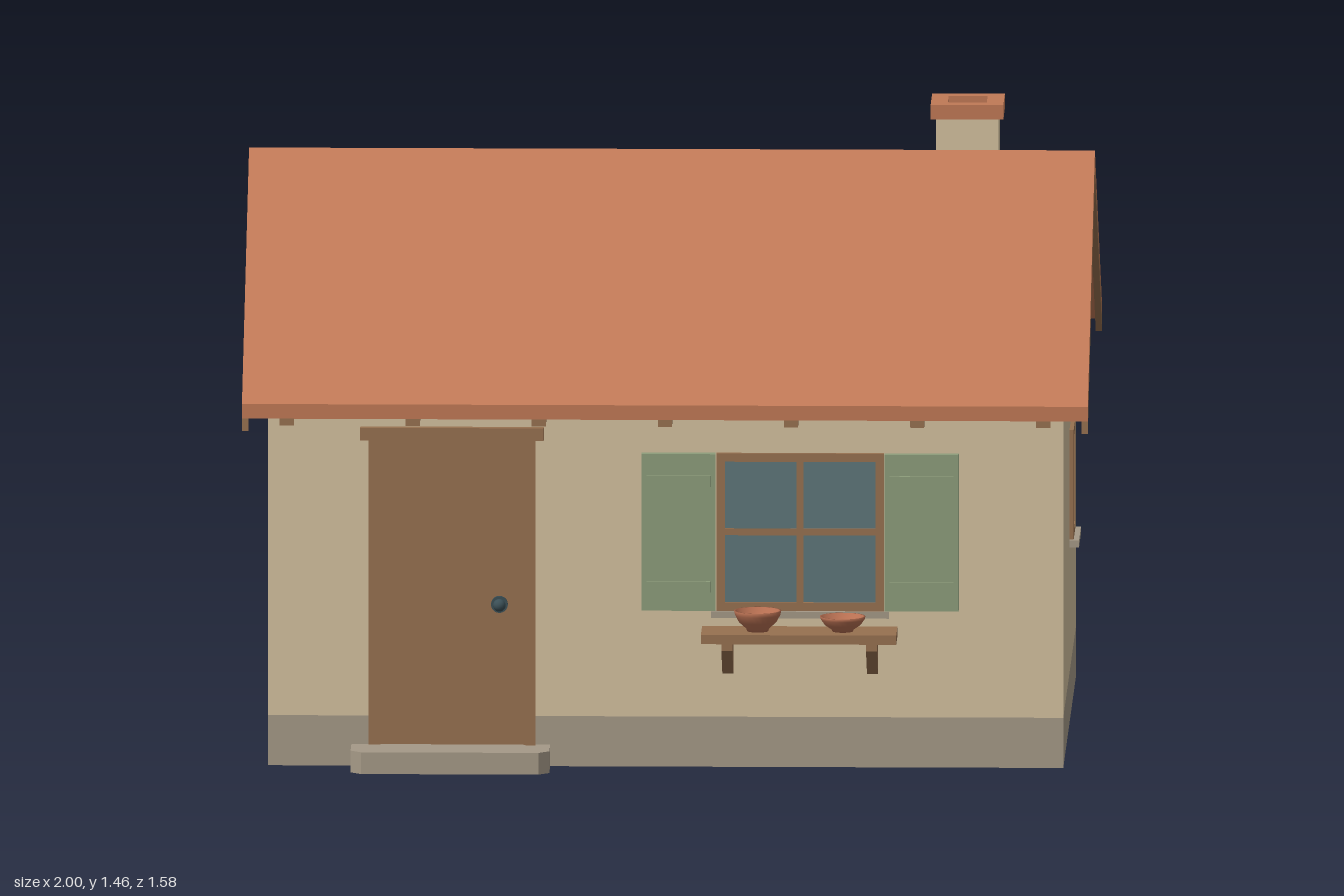
import * as THREE from 'three';

const mat = (name, color, extra = {}) => {
  const m = new THREE.MeshStandardMaterial({ color, ...extra });
  m.name = name;
  return m;
};

export function createModel() {
  const plaster = mat('plaster', 0xd3c09f);
  const stone = mat('stone', 0xa59987);
  const tile = mat('terracotta', 0xc07956);
  const wood = mat('wood', 0x977150);
  const glass = mat('glass', 0x5e767a);
  const green = mat('shutterGreen', 0x8d9d7b);
  const iron = mat('iron', 0x3b4f56);
  const clay = mat('bowlClay', 0xb87052, { side: THREE.DoubleSide });

  const house = new THREE.Group();
  house.name = 'cottage';

  const add = (parent, name, geo, material) => {
    const m = new THREE.Mesh(geo, material);
    m.name = name;
    parent.add(m);
    return m;
  };
  // Box given by its lower and upper limits
  const box = (parent, name, material, x0, x1, y0, y1, z0, z1) => {
    const m = add(parent, name, new THREE.BoxGeometry(x1 - x0, y1 - y0, z1 - z0), material);
    m.position.set((x0 + x1) / 2, (y0 + y1) / 2, (z0 + z1) / 2);
    return m;
  };
  const shapeOf = pts => new THREE.Shape(pts.map(p => new THREE.Vector2(p[0], p[1])));
  // Outline of [z, y] points extruded from x0 to x1
  const extrudeX = (pts, x0, x1) =>
    new THREE.ExtrudeGeometry(shapeOf(pts), { depth: x1 - x0, bevelEnabled: false })
      .rotateY(-Math.PI / 2).translate(x1, 0, 0);
  // Outline of [x, -z] points extruded upward from y0 to y1
  const extrudeY = (shape, y0, y1) =>
    new THREE.ExtrudeGeometry(shape, { depth: y1 - y0, bevelEnabled: false })
      .rotateX(-Math.PI / 2).translate(0, y0, 0);

  const FRONT = 0.655, BACK = -0.7, SIDE = 0.94, RIDGE = -0.022, SLOPE = 0.64, EAVE = 0.767;

  // Walls and plinth
  box(house, 'plinth', stone, -SIDE, SIDE, 0, 0.12, BACK, FRONT);
  const wallTop = 1.33 - (FRONT - RIDGE) * SLOPE;
  add(house, 'walls', extrudeX([
    [BACK, 0.12], [FRONT, 0.12], [FRONT, wallTop], [RIDGE, 1.33], [BACK, wallTop],
  ], -SIDE, SIDE), plaster);

  // Roof: chevron slabs of tile with bargeboards under both ends
  const chevron = (top, bottom, x0, x1) => extrudeX([
    [RIDGE - EAVE, bottom - EAVE * SLOPE], [RIDGE, bottom], [RIDGE + EAVE, bottom - EAVE * SLOPE],
    [RIDGE + EAVE, top - EAVE * SLOPE], [RIDGE, top], [RIDGE - EAVE, top - EAVE * SLOPE],
  ], x0, x1);
  add(house, 'roofTiles', chevron(1.37, 1.335, -1, 1), tile);
  add(house, 'bargeboardLeft', chevron(1.335, 1.305, 0.985, 1), wood);
  add(house, 'bargeboardRight', chevron(1.335, 1.305, -1, -0.985), wood);

  // Rafter tails under both eaves
  for (let i = -3; i <= 3; i++) {
    for (const s of [-1, 1]) {
      const x = i * 0.298, y = d => 1.337 - d * SLOPE;
      const pts = [[0.64, y(0.64) - 0.028], [0.755, y(0.755) - 0.028], [0.755, y(0.755)], [0.64, y(0.64)]]
        .map(([d, h]) => [RIDGE + s * d, h]);
      add(house, 'rafterTail', extrudeX(pts, x - 0.017, x + 0.017), wood);
    }
  }

  // Hollow chimney and cap
  const squareRing = (cx, cz, outer, inner) => {
    const sq = h => [[cx - h, -cz - h], [cx + h, -cz - h], [cx + h, -cz + h], [cx - h, -cz + h]];
    const s = shapeOf(sq(outer));
    s.holes.push(shapeOf(sq(inner).reverse()));
    return s;
  };
  add(house, 'chimney', extrudeY(squareRing(0.695, -0.218, 0.074, 0.047), 1.15, 1.425), plaster);
  add(house, 'chimneyCap', extrudeY(squareRing(0.695, -0.218, 0.086, 0.046), 1.425, 1.46), tile);

  // Door, frame, knob and step
  const door = new THREE.Group();
  door.name = 'door';
  house.add(door);
  box(door, 'doorPanel', wood, -0.675, -0.335, 0.05, 0.78, FRONT - 0.01, FRONT + 0.003);
  box(door, 'doorPostRight', wood, -0.702, -0.674, 0.05, 0.78, FRONT - 0.01, 0.668);
  box(door, 'doorPostLeft', wood, -0.336, -0.308, 0.05, 0.78, FRONT - 0.01, 0.668);
  box(door, 'doorLintel', wood, -0.722, -0.288, 0.782, 0.812, FRONT - 0.01, 0.677);
  add(door, 'knobPlate', new THREE.CylinderGeometry(0.02, 0.02, 0.008, 20).rotateX(Math.PI / 2), iron)
    .position.set(-0.393, 0.388, 0.661);
  add(door, 'knob', new THREE.SphereGeometry(0.015, 16, 10), iron).position.set(-0.393, 0.388, 0.676);
  add(house, 'doorStep', extrudeY(shapeOf([
    [-0.743, -0.65], [-0.743, -0.757], [-0.718, -0.782], [-0.298, -0.782], [-0.273, -0.757], [-0.273, -0.65],
  ]), 0, 0.052), stone);

  // Window facing +z, centred on its bottom edge; bar is the frame width
  const makeWindow = (name, w, h, bar, cross, sillH, sillOut, sillW) => {
    const g = new THREE.Group();
    g.name = name;
    const x = w / 2, out = 0.01;
    box(g, 'glass', glass, -x + bar / 2, x - bar / 2, bar / 2, h - bar / 2, -0.005, 0.002);
    for (const s of [-1, 1]) {
      const c = s * (x - bar / 2);
      box(g, 'frameSide', wood, c - bar / 2, c + bar / 2, 0, h, -0.005, out);
    }
    box(g, 'frameBottom', wood, -x + bar, x - bar, 0, bar, -0.005, out);
    box(g, 'frameTop', wood, -x + bar, x - bar, h - bar, h, -0.005, out);
    if (cross) {
      box(g, 'mullion', wood, -0.008, 0.008, bar, h - bar, -0.004, 0.007);
      box(g, 'transom', wood, -x + bar, x - bar, h / 2 - 0.008, h / 2 + 0.008, -0.004, 0.0065);
    }
    box(g, 'sill', stone, -sillW / 2, sillW / 2, -sillH, 0, -0.005, sillOut);
    house.add(g);
    return g;
  };
  makeWindow('frontWindow', 0.396, 0.377, 0.02, true, 0.016, 0.02, 0.42).position.set(0.318, 0.375, FRONT);
  const sideWindow = makeWindow('sideWindow', 0.182, 0.262, 0.019, false, 0.017, 0.023, 0.21);
  sideWindow.position.set(SIDE, 0.44, -0.1);
  sideWindow.rotation.y = Math.PI / 2;
  const backWindow = makeWindow('backWindow', 0.22, 0.25, 0.018, true, 0.018, 0.022, 0.26);
  backWindow.position.set(-0.232, 0.43, BACK);
  backWindow.rotation.y = Math.PI;

  // Shutters with two battens each
  for (const x0 of [-0.057, 0.518]) {
    const x1 = x0 + 0.175;
    box(house, 'shutter', green, x0, x1, 0.377, 0.752, FRONT - 0.005, 0.679);
    for (const y of [0.435, 0.688])
      box(house, 'shutterBatten', green, x0 + 0.012, x1 - 0.012, y - 0.013, y + 0.013, 0.675, 0.687);
  }

  // Shelf on two brackets
  box(house, 'shelf', wood, 0.086, 0.548, 0.315, 0.337, FRONT - 0.005, 0.79);
  for (const x of [0.147, 0.489])
    add(house, 'shelfBracket', extrudeX([
      [0.65, 0.22], [0.664, 0.228], [0.766, 0.295], [0.766, 0.316], [0.65, 0.316],
    ], x - 0.013, x + 0.013), wood);

  // Bowls
  for (const [x, r, h] of [[0.219, 0.056, 0.049], [0.42, 0.054, 0.036]]) {
    const profile = [[0, 0], [0.45, 0], [0.48, 0.12], [0.8, 0.45], [0.96, 0.8], [1, 1], [0.92, 1], [0.75, 0.55], [0.4, 0.25], [0, 0.2]]
      .map(([a, b]) => new THREE.Vector2(a * r, b * h));
    add(house, 'bowl', new THREE.LatheGeometry(profile, 24), clay).position.set(x, 0.337, 0.726);
  }

  return house;
}
